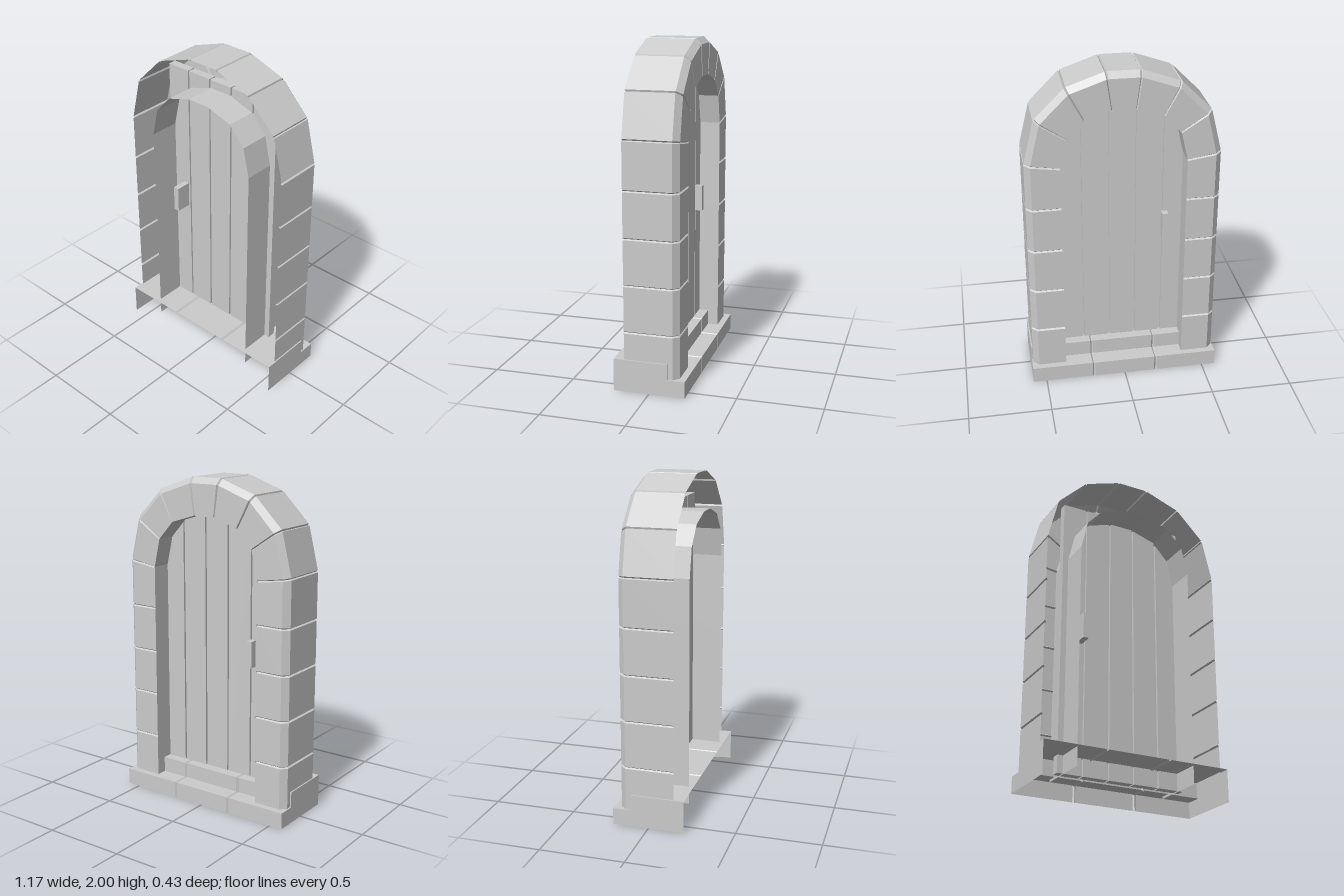
import * as THREE from 'three';

const grey = new THREE.MeshStandardMaterial({ color: 0xcccccc, flatShading: true, side: THREE.DoubleSide });

function add(parent, geometry, name, x = 0, y = 0, z = 0) {
  const mesh = new THREE.Mesh(geometry, grey);
  mesh.name = name;
  mesh.position.set(x, y, z);
  parent.add(mesh);
  return mesh;
}

// Faceted open surface through rows of [x, y, z] points
function sheet(rows) {
  const pos = [];
  for (let i = 0; i < rows.length - 1; i++) {
    for (let j = 0; j < rows[i].length - 1; j++) {
      const a = rows[i][j], b = rows[i + 1][j], c = rows[i][j + 1], d = rows[i + 1][j + 1];
      pos.push(...a, ...c, ...b, ...b, ...c, ...d);
    }
  }
  const g = new THREE.BufferGeometry();
  g.setAttribute('position', new THREE.Float32BufferAttribute(pos, 3));
  g.computeVertexNormals();
  return g;
}

const V = (x, y) => new THREE.Vector2(x, y);

// Joints of the surround from foot to crown: outer and inner edge
const half = [0.1, 0.36, 0.64, 0.915, 1.19].map(y => ({ o: V(0.575, y), i: V(0.37, y) }));
half.push(
  { o: V(0.575, 1.475), i: V(0.37, 1.445) },
  { o: V(0.51, 1.74), i: V(0.33, 1.62) },
  { o: V(0.33, 1.92), i: V(0.23, 1.73) },
  { o: V(0.1, 2), i: V(0.07, 1.78) });
const flip = p => V(-p.x, p.y);
const joints = [...half, ...half.slice().reverse().map(s => ({ o: flip(s.o), i: flip(s.i) }))];

// Cross-section of the stone: outer side, chamfer, face
function stoneRow(o, i, groove) {
  const len = o.distanceTo(i);
  const oo = o.clone().lerp(i, groove / len);
  const face = o.clone().lerp(i, (0.035 + groove * 0.4) / len);
  return [[oo.x, oo.y, 0.15], [oo.x, oo.y, -0.14 + groove * 0.4],
    [face.x, face.y, -0.175 + groove], [i.x, i.y, -0.175 + groove]];
}

function surroundRows() {
  const rows = [];
  joints.forEach((s, k) => {
    const near = t => {
      const f = 0.007 / s.o.distanceTo(t.o);
      return stoneRow(s.o.clone().lerp(t.o, f), s.i.clone().lerp(t.i, f), 0);
    };
    const end = k === 0 || k === joints.length - 1;
    if (end) return rows.push(stoneRow(s.o, s.i, 0));
    rows.push(near(joints[k - 1]), stoneRow(s.o, s.i, 0.01), near(joints[k + 1]));
  });
  return rows;
}

// Stepped sill cross-section as [z, y], pulled in by g at the joints
const sillProfile = g => [[0.213 - g, 0.195 - g], [-0.11 + g, 0.195 - g], [-0.11 + g, 0.1 - g],
  [-0.215 + g, 0.1 - g], [-0.215 + g, 0]];

export function createModel() {
  const model = new THREE.Group();
  model.name = 'archedDoorway';

  // Stone surround and the smooth lining of the opening
  add(model, sheet(surroundRows()), 'stoneSurround');
  const lining = joints.map(({ i }) => {
    const y = Math.max(i.y, 0.1) === 0.1 ? 0.085 : i.y;
    return [[i.x, y, -0.175], [i.x, y, 0.185]];
  });
  add(model, sheet(lining), 'openingLining');

  // Stepped sill in three blocks with closed ends
  const sillRows = [[0.583, 0], [0.207, 0], [0.198, 0.009], [0.189, 0],
    [-0.189, 0], [-0.198, 0.009], [-0.207, 0], [-0.583, 0]]
    .map(([x, g]) => sillProfile(g).map(([z, y]) => [x, y, z]));
  add(model, sheet(sillRows), 'sill');
  const endShape = new THREE.Shape([...sillProfile(0), [0.213, 0]].map(([z, y]) => V(-z, y)));
  for (const side of [-1, 1]) {
    add(model, new THREE.ShapeGeometry(endShape).rotateY(Math.PI / 2), 'sillEnd', side * 0.583);
  }

  // Door planks with a thin core closing the gaps
  const door = new THREE.Group();
  door.name = 'door';
  model.add(door);
  const edges = [-0.41, -0.25, -0.085, 0.077, 0.24, 0.41];
  for (let k = 0; k < 5; k++) {
    const w = edges[k + 1] - edges[k];
    add(door, new THREE.BoxGeometry(w - 0.01, 1.74, 0.05), 'plank', edges[k] + w / 2, 0.96, -0.025);
  }
  add(door, new THREE.BoxGeometry(0.8, 1.73, 0.02), 'doorCore', 0, 0.96, -0.025);

  // Handles on both faces
  add(door, new THREE.BoxGeometry(0.036, 0.16, 0.1), 'frontHandle', -0.285, 0.98, 0.045);
  add(door, new THREE.BoxGeometry(0.036, 0.16, 0.05), 'backHandle', -0.265, 0.98, -0.07);

  return model;
}
